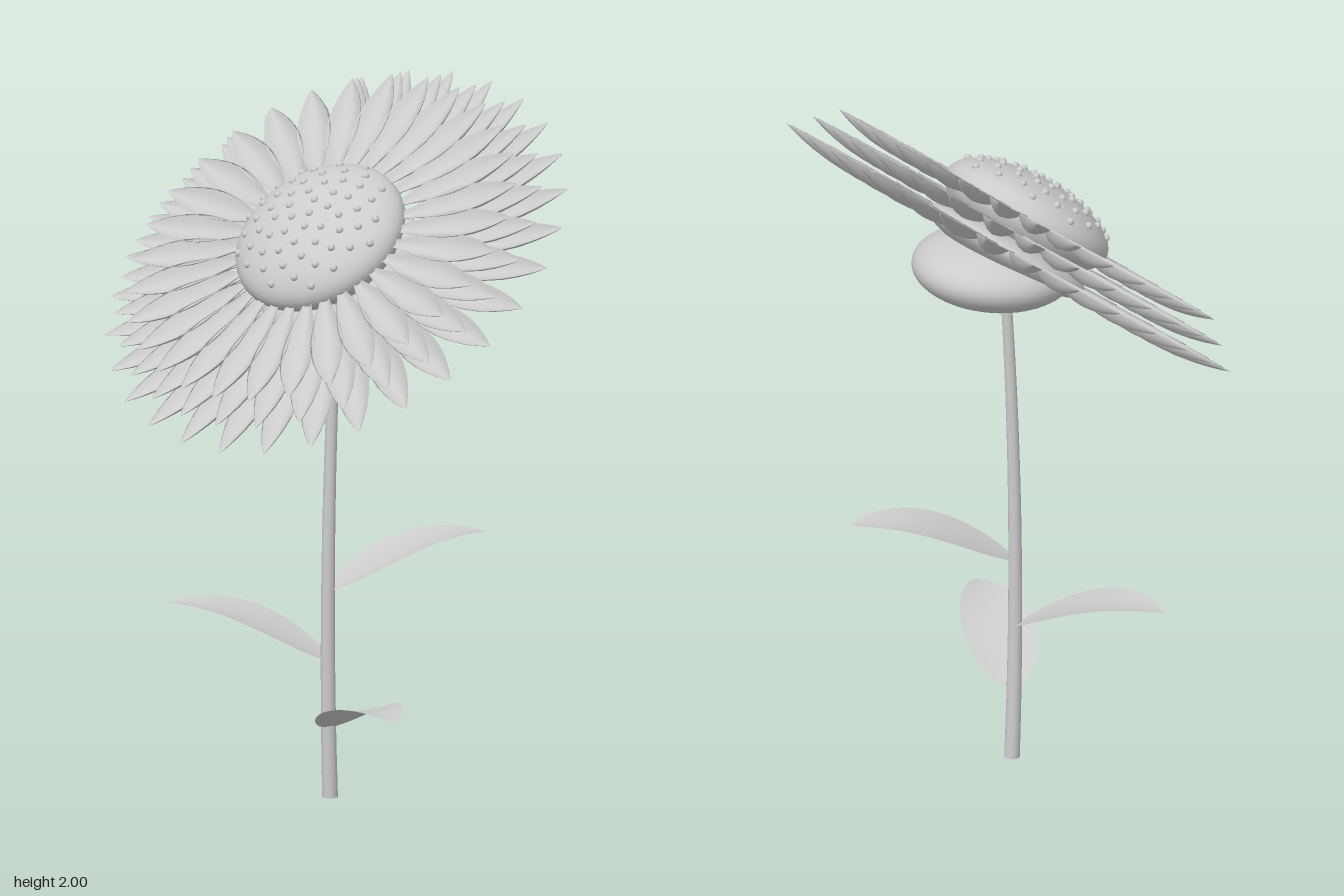
import * as THREE from 'three';

const grey = new THREE.MeshStandardMaterial({ color: 0xcccccc });
grey.name = 'light grey';
const greyLeaf = grey.clone();
greyLeaf.side = THREE.DoubleSide;

function add(parent, geometry, name, material = grey) {
  const mesh = new THREE.Mesh(geometry, material);
  mesh.name = name;
  parent.add(mesh);
  return mesh;
}

// Move every vertex of a geometry by a rule
function reshape(geometry, rule) {
  const p = geometry.attributes.position;
  const v = new THREE.Vector3();
  for (let i = 0; i < p.count; i++) {
    v.fromBufferAttribute(p, i);
    rule(v);
    p.setXYZ(i, v.x, v.y, v.z);
  }
  geometry.computeVertexNormals();
  return geometry;
}

// Thin boat-shaped petal along +x: rim in one plane, keel below it
function petalGeometry(inner, outer) {
  return reshape(new THREE.SphereGeometry(1, 16, 14), (v) => {
    const s = THREE.MathUtils.clamp((v.y + 1) / 2, 0, 1);
    const rad = Math.hypot(v.x, v.z) || 1;
    const w = Math.pow(Math.max(0, Math.sin(Math.PI * Math.pow(s, 1.3))), 0.9);
    const across = v.x / rad;
    const lift = 0.005 * (v.z / rad) + 0.032 * (across * across - 1);
    v.set(inner + s * (outer - inner), w * lift, 0.051 * w * across);
  });
}

// Arched, slightly cupped leaf along +x with a rounded tip
function leafGeometry() {
  const geometry = new THREE.PlaneGeometry(1, 2, 24, 8);
  geometry.rotateX(-Math.PI / 2);
  return reshape(geometry, (v) => {
    const s = v.x + 0.5;
    const w = 0.1 * Math.pow(Math.max(0, Math.sin(Math.PI * Math.pow(s, 0.8))), 0.7);
    const y = 0.138 * Math.sin(s * 1.85) + 0.1 * w * v.z * v.z;
    v.set(0.465 * s, y, w * v.z);
  });
}

// Gentle bend of the stem at height y
const stemX = (y) => -0.03 + 0.011 * y;
const stemZ = (y) => -0.008 + 0.05 * y - 0.04 * y * y;

export function createModel() {
  const model = new THREE.Group();
  model.name = 'flower';

  // Tapered, bent stem
  const stem = new THREE.CylinderGeometry(0.015, 0.022, 1.48, 16, 20);
  stem.translate(0, 0.74, 0);
  add(model, reshape(stem, (v) => {
    v.x += stemX(v.y);
    v.z += stemZ(v.y);
  }), 'stem');

  // Leaves spiralling up the stem
  const leaf = leafGeometry();
  [[0.2, -23], [0.4, -152], [0.6, 61]].forEach(([y, degrees], i) => {
    const mesh = add(model, leaf, `leaf${i + 1}`, greyLeaf);
    mesh.position.set(stemX(y), y, stemZ(y));
    mesh.rotation.y = THREE.MathUtils.degToRad(degrees);
  });

  // Flattened cup under the head
  const calyx = add(model, new THREE.SphereGeometry(1, 40, 24), 'calyx');
  calyx.scale.set(0.228, 0.105, 0.232);
  calyx.position.set(0, 1.508, -0.05);
  calyx.rotation.x = 0.1;

  // Tilted head
  const head = new THREE.Group();
  head.name = 'head';
  head.position.set(0, 1.555, 0);
  head.rotation.x = 0.65;
  model.add(head);

  // Three petal layers, each turned slightly from the one below
  [0.71, 0.656, 0.602].forEach((radius, layer) => {
    const ring = new THREE.Group();
    ring.name = `petalLayer${layer + 1}`;
    ring.position.y = layer * 0.053;
    head.add(ring);
    const geometry = petalGeometry(0.2, radius);
    for (let i = 0; i < 30; i++) {
      const petal = add(ring, geometry, 'petal');
      petal.rotation.y = THREE.MathUtils.degToRad(i * 12 - layer * 1.5);
    }
  });

  // Domed centre disc, and the rounded back that holds the petals
  const R = 0.255, H = 0.112;
  const disc = add(head, new THREE.SphereGeometry(1, 40, 24), 'disc');
  disc.scale.set(R, H, R);
  disc.position.y = 0.106;
  const back = add(head, new THREE.SphereGeometry(1, 40, 24), 'discBack');
  back.scale.set(0.25, 0.06, 0.25);
  back.position.y = -0.01;

  // Seeds in a golden-angle spiral over the dome
  const seed = new THREE.SphereGeometry(0.011, 10, 8);
  const count = 60;
  for (let i = 0; i < count; i++) {
    const r = 0.235 * Math.sqrt((i + 0.5) / count);
    const a = i * Math.PI * (3 - Math.sqrt(5));
    const y = 0.106 + H * Math.sqrt(1 - (r / R) ** 2);
    add(head, seed, 'seed').position.set(r * Math.cos(a), y, r * Math.sin(a));
  }
  return model;
}
